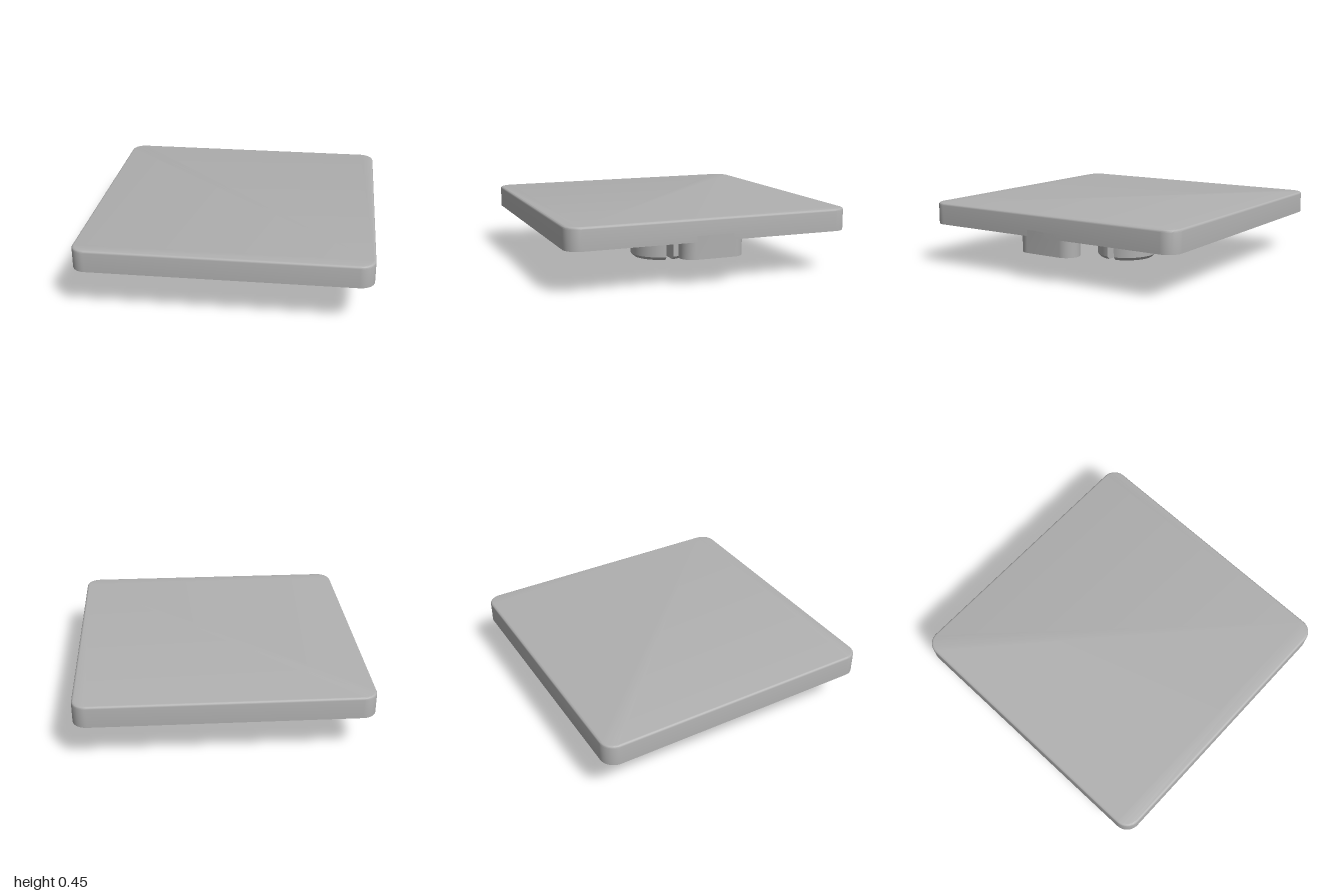
import * as THREE from 'three';
import { toCreasedNormals } from 'three/addons/utils/BufferGeometryUtils.js';

// Capped skin through convex rings of [x, z] points, each ring at its own height
function loft(rings) {
  const pos = [];
  const put = (ring, i) => {
    const p = ring.pts[i % ring.pts.length];
    pos.push(p[0], ring.y, p[1]);
  };
  const n = rings[0].pts.length;
  const first = rings[0], last = rings[rings.length - 1];
  for (let k = 0; k < rings.length - 1; k++) {
    const a = rings[k], b = rings[k + 1];
    for (let i = 0; i < n; i++) {
      put(a, i); put(b, i); put(a, i + 1);
      put(a, i + 1); put(b, i); put(b, i + 1);
    }
  }
  for (let i = 1; i < n - 1; i++) {
    put(first, 0); put(first, i); put(first, i + 1);
    put(last, 0); put(last, i + 1); put(last, i);
  }
  const g = new THREE.BufferGeometry();
  g.setAttribute('position', new THREE.Float32BufferAttribute(pos, 3));
  return toCreasedNormals(g, 0.5);
}

// Rectangle with rounded corners, centred on (cx, 0)
function roundedRect(hx, hz, r, cx = 0, seg = 12) {
  const pts = [];
  [[1, 1], [-1, 1], [-1, -1], [1, -1]].forEach(([sx, sz], q) => {
    for (let i = 0; i <= seg; i++) {
      const a = (q + i / seg) * Math.PI / 2;
      pts.push([cx + sx * (hx - r) + r * Math.cos(a), sz * (hz - r) + r * Math.sin(a)]);
    }
  });
  return pts;
}

// Disc segment on the +z side of the slot
function halfDisc(r, gap, seg = 40) {
  const a0 = Math.asin(gap / r), pts = [];
  for (let i = 0; i <= seg; i++) {
    const a = a0 + (Math.PI - 2 * a0) * i / seg;
    pts.push([r * Math.cos(a), r * Math.sin(a)]);
  }
  return pts;
}

export function createModel() {
  const group = new THREE.Group();
  const grey = new THREE.MeshStandardMaterial({ color: 0xb0b0b0 });
  grey.name = 'plain grey';
  const add = (name, geometry) => {
    const mesh = new THREE.Mesh(geometry, grey);
    mesh.name = name;
    group.add(mesh);
    return mesh;
  };

  const base = 0.295, top = 0.448, ceiling = 0.337;

  // Cover plate: recessed underside, rim, side wall and softened top edge
  const rings = [
    { y: ceiling, pts: roundedRect(0.865, 0.865, 0.002) },
    { y: base, pts: roundedRect(0.865, 0.865, 0.002) },
    { y: base, pts: roundedRect(1, 1, 0.1) },
  ];
  const f = 0.016;
  for (let i = 0; i <= 4; i++) {
    const a = i / 4 * Math.PI / 2, inset = f * (1 - Math.cos(a));
    rings.push({
      y: top - f + f * Math.sin(a),
      pts: roundedRect(1 - inset, 1 - inset, 0.1 - inset),
    });
  }
  add('coverPlate', loft(rings));

  // Round-ended locating tab, flush with the left edge
  const tab = roundedRect(0.0875, 0.22, 0.0875, 0.9125);
  add('edgeTab', loft([{ y: 0.18, pts: tab }, { y: ceiling, pts: tab }]));

  // Split stem: two chamfered halves with a slot along x
  const half = loft([
    { y: 0, pts: halfDisc(0.195, 0.028) },
    { y: 0.023, pts: halfDisc(0.217, 0.028) },
    { y: ceiling, pts: halfDisc(0.217, 0.028) },
  ]);
  add('stemHalfFront', half);
  add('stemHalfBack', half).rotation.y = Math.PI;

  return group;
}
